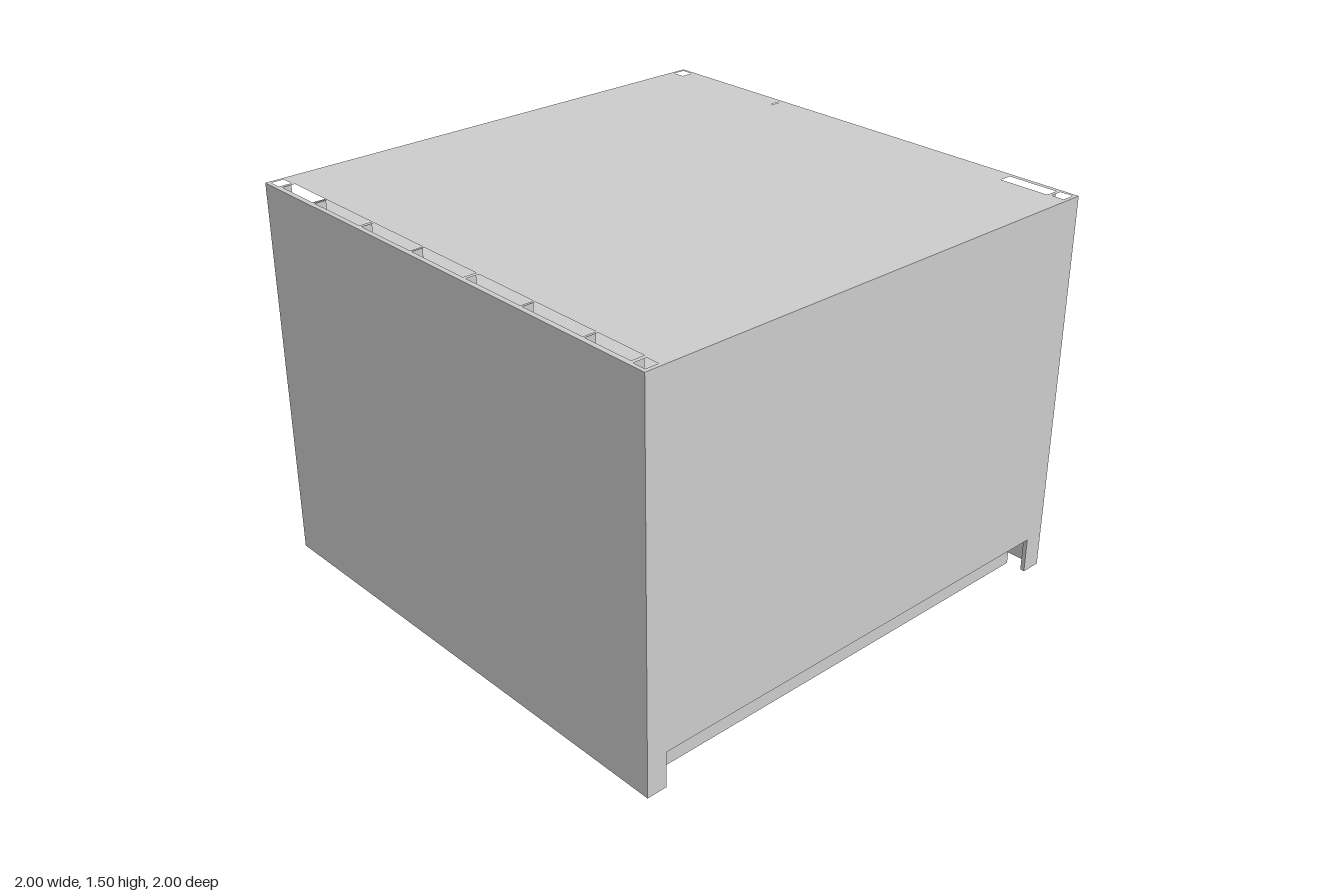
import * as THREE from 'three';

const material = new THREE.MeshStandardMaterial({ color: 0xcccccc });

// Rectangle corners in plan, as [x0, x1, z0, z1]; shape y is -z.
function trace(path, [x0, x1, z0, z1]) {
  path.moveTo(x0, -z0);
  path.lineTo(x1, -z0);
  path.lineTo(x1, -z1);
  path.lineTo(x0, -z1);
  path.closePath();
  return path;
}

// Upright slab with rectangular openings through it.
function slab(name, outline, holes, y0, y1) {
  const shape = trace(new THREE.Shape(), outline);
  for (const h of holes) shape.holes.push(trace(new THREE.Path(), h));
  const geo = new THREE.ExtrudeGeometry(shape, { depth: y1 - y0, bevelEnabled: false });
  geo.rotateX(-Math.PI / 2);
  geo.translate(0, y0, 0);
  const mesh = new THREE.Mesh(geo, material);
  mesh.name = name;
  return mesh;
}

export function createModel() {
  const group = new THREE.Group();
  group.name = 'hollowEdgedBlock';
  const full = [-1, 1, -1, 1];
  const notchTop = 0.14, slotFloor = 1.38, height = 1.5;

  // Square shafts running down all four corners
  const shafts = [];
  for (const x of [-0.96, 0.96])
    for (const z of [-0.96, 0.96])
      shafts.push([x - 0.025, x + 0.025, z - 0.025, z + 0.025]);

  // Row of slots along the front edge, one at the back and a narrow slit
  const slots = [
    [-0.92, -0.72], [-0.71, -0.44], [-0.425, -0.15], [-0.14, 0.135],
    [0.15, 0.42], [0.43, 0.71], [0.72, 0.92],
  ].map(([a, b]) => [a, b, 0.93, 0.98]);
  slots.push([0.72, 0.92, -0.98, -0.93], [-0.423, -0.417, -0.98, -0.935]);

  group.add(slab('body', full, shafts, notchTop, slotFloor));
  group.add(slab('slottedTop', full, [...shafts, ...slots], slotFloor, height));

  // Inner base with a shallow recess underneath
  const core = [-0.92, 0.92, -0.92, 0.92];
  group.add(slab('baseCore', core, [], 0.015, notchTop));
  group.add(slab('baseRim', core, [[-0.895, 0.895, -0.895, 0.895]], 0, 0.015));

  // Thin skirts at front and back, returning round the corners
  for (const s of [-1, 1]) {
    const z = (a, b) => (s > 0 ? [a, b] : [-b, -a]);
    group.add(slab(s > 0 ? 'frontSkirt' : 'backSkirt', [-1, 1, ...z(0.983, 1)], [], 0, notchTop));
    group.add(slab('leftCornerReturn', [0.983, 1, ...z(0.92, 0.983)], [], 0, notchTop));
    group.add(slab('rightCornerReturn', [-1, -0.983, ...z(0.92, 0.983)], [], 0, notchTop));
  }
  return group;
}
